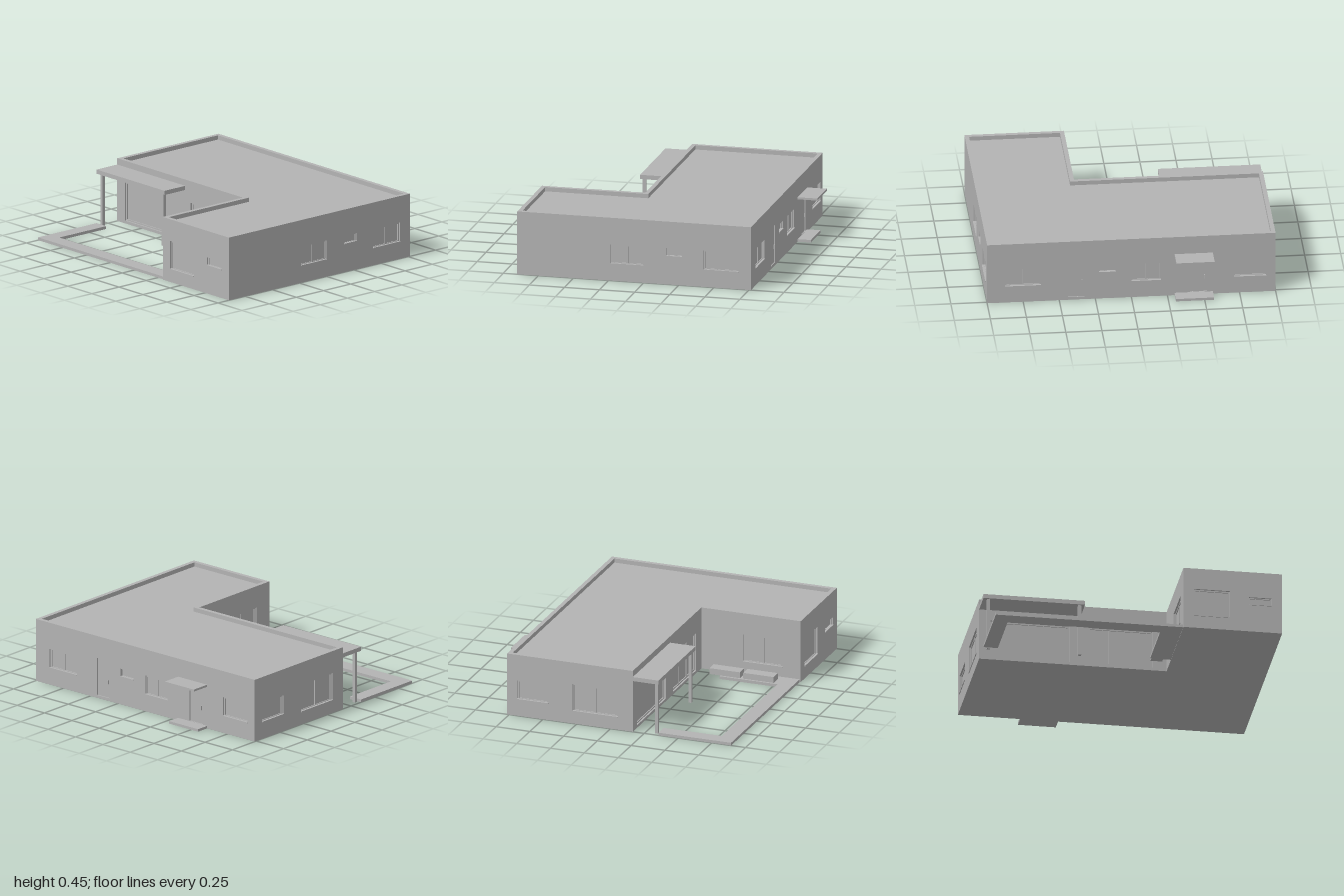
import * as THREE from 'three';

const grey = new THREE.MeshStandardMaterial({ color: 0xb3b3b3 });
grey.name = 'plain grey';

const H = 0.45, T = 0.03; // wall height and thickness

function add(parent, name, geometry) {
  const mesh = new THREE.Mesh(geometry, grey);
  mesh.name = name;
  parent.add(mesh);
  return mesh;
}

// Box given by its lower and upper limits on each axis
function box(parent, name, x0, x1, y0, y1, z0, z1) {
  const g = new THREE.BoxGeometry(x1 - x0, y1 - y0, z1 - z0);
  g.translate((x0 + x1) / 2, (y0 + y1) / 2, (z0 + z1) / 2);
  return add(parent, name, g);
}

function rect(Type, x0, x1, y0, y1) {
  const s = new Type();
  s.moveTo(x0, y0);
  s.lineTo(x1, y0);
  s.lineTo(x1, y1);
  s.lineTo(x0, y1);
  s.closePath();
  return s;
}

// Horizontal slab from an outline of [x, z] points
function slab(parent, name, points, y0, y1) {
  const shape = new THREE.Shape(points.map(([x, z]) => new THREE.Vector2(x, -z)));
  const g = new THREE.ExtrudeGeometry(shape, { depth: y1 - y0, bevelEnabled: false });
  g.rotateX(-Math.PI / 2).translate(0, y0, 0);
  return add(parent, name, g);
}

// Recessed window: frame, glass, upright bars and a projecting sill
function windowUnit(wall, x0, x1, y0, y1, panes) {
  const group = new THREE.Group();
  group.name = 'window';
  wall.add(group);
  const f = y1 - y0 < 0.1 ? 0.007 : 0.01;
  const ring = rect(THREE.Shape, x0, x1, y0, y1);
  ring.holes.push(rect(THREE.Path, x0 + f, x1 - f, y0 + f, y1 - f));
  const g = new THREE.ExtrudeGeometry(ring, { depth: 0.014, bevelEnabled: false });
  g.translate(0, 0, -0.026);
  add(group, 'windowFrame', g);
  box(group, 'windowGlass', x0, x1, y0, y1, -0.024, -0.019);
  for (let i = 1; i < panes; i++) {
    const x = x0 + ((x1 - x0) * i) / panes;
    box(group, 'windowBar', x - f / 2, x + f / 2, y0, y1, -0.025, -0.013);
  }
  if (y0 > 0.03) box(group, 'windowSill', x0, x1, y0, y0 + 0.006, -0.025, 0.005);
}

// Recessed door with a small handle
function doorUnit(wall, x0, x1, y0, y1) {
  const group = new THREE.Group();
  group.name = 'door';
  wall.add(group);
  box(group, 'doorPanel', x0, x1, y0, y1, -0.024, -0.008);
  box(group, 'doorHandle', x1 - 0.02, x1 - 0.013, 0.12, 0.15, -0.008, 0.004);
}

// Wall facing local +z; openings are [from, to, bottom, top, panes], 0 panes = door.
// sign turns world coordinates into distances along the wall.
function wall(parent, name, from, to, sign, x, z, turn, openings) {
  const group = new THREE.Group();
  group.name = name;
  const span = (a, b) => [a * sign, b * sign].sort((p, q) => p - q);
  const shape = rect(THREE.Shape, ...span(from, to), 0, H);
  for (const [a, b, y0, y1, panes] of openings) {
    const [u0, u1] = span(a, b);
    shape.holes.push(rect(THREE.Path, u0, u1, y0, y1));
    if (panes) windowUnit(group, u0, u1, y0, y1, panes);
    else doorUnit(group, u0, u1, y0, y1);
  }
  const g = new THREE.ExtrudeGeometry(shape, { depth: T, bevelEnabled: false });
  g.translate(0, 0, -T);
  add(group, name + 'Panel', g);
  group.position.set(x, 0, z);
  group.rotation.y = turn;
  parent.add(group);
}

export function createModel() {
  const house = new THREE.Group();
  house.name = 'house';

  const L = 1, BACK = -0.765, COURT = 0.165, WING = 0.31, FRONT = 0.9;

  // Walls with windows and doors
  wall(house, 'courtFrontWall', -L, WING + T, 1, 0, COURT, 0, [
    [-0.92, -0.37, 0.02, 0.295, 1],
    [-0.235, 0.21, 0.02, 0.295, 3],
  ]);
  wall(house, 'wingFrontWall', WING, L, 1, 0, FRONT, 0, [
    [0.385, 0.635, 0.09, 0.295, 1],
    [0.77, 0.925, 0.2, 0.26, 1],
  ]);
  wall(house, 'leftWall', BACK, FRONT, -1, L, 0, Math.PI / 2, [
    [0, 0.235, 0.12, 0.26, 2],
    [-0.275, -0.16, 0.2, 0.26, 1],
    [-0.675, -0.425, 0.12, 0.26, 2],
  ]);
  wall(house, 'backWall', -L, L, -1, 0, BACK, Math.PI, [
    [0.625, 0.875, 0.12, 0.26, 2],
    [0.325, 0.44, 0.02, 0.29, 0],
    [0.105, 0.225, 0.2, 0.26, 1],
    [-0.205, 0, 0.12, 0.26, 2],
    [-0.525, -0.405, 0.02, 0.29, 0],
    [-0.935, -0.71, 0.12, 0.26, 1],
  ]);
  wall(house, 'rightWall', BACK, COURT, 1, -L, 0, -Math.PI / 2, [
    [-0.69, -0.46, 0.12, 0.26, 1],
    [-0.28, 0.055, 0.09, 0.29, 2],
  ]);
  wall(house, 'courtSideWall', COURT - T, FRONT, 1, WING, 0, -Math.PI / 2, [
    [0.475, 0.765, 0.09, 0.295, 2],
  ]);

  // Floor and sunken flat roof
  const outline = (d) => [
    [-L + d, BACK + d], [L - d, BACK + d], [L - d, FRONT - d],
    [WING + d, FRONT - d], [WING + d, COURT - d], [-L + d, COURT - d],
  ];
  slab(house, 'floor', outline(0.001), 0, 0.019);
  slab(house, 'roof', outline(0.01), 0.4, 0.42);

  // Terrace canopy on two posts
  box(house, 'terraceCanopy', -L, -0.29, 0.375, 0.405, COURT, 0.355);
  for (const x of [-0.962, -0.325]) box(house, 'canopyPost', x - 0.011, x + 0.011, 0, 0.375, 0.32, 0.342);

  // Paved border around the courtyard
  slab(house, 'courtyardPath', [
    [-L, 0.355], [-0.9, 0.355], [-0.9, 0.785], [0.165, 0.785],
    [0.165, 0.355], [0.309, 0.355], [0.309, 0.893], [-L, 0.893],
  ], 0, 0.02);

  // Low benches beside the wing
  for (const z of [0.275, 0.525]) box(house, 'bench', 0.18, 0.262, 0.02, 0.063, z, z + 0.225);

  // Back porch
  box(house, 'porchCanopy', -0.565, -0.3, 0.303, 0.318, -0.905, BACK);
  box(house, 'porchStep', -0.565, -0.3, 0, 0.018, -0.86, BACK);

  return house;
}
